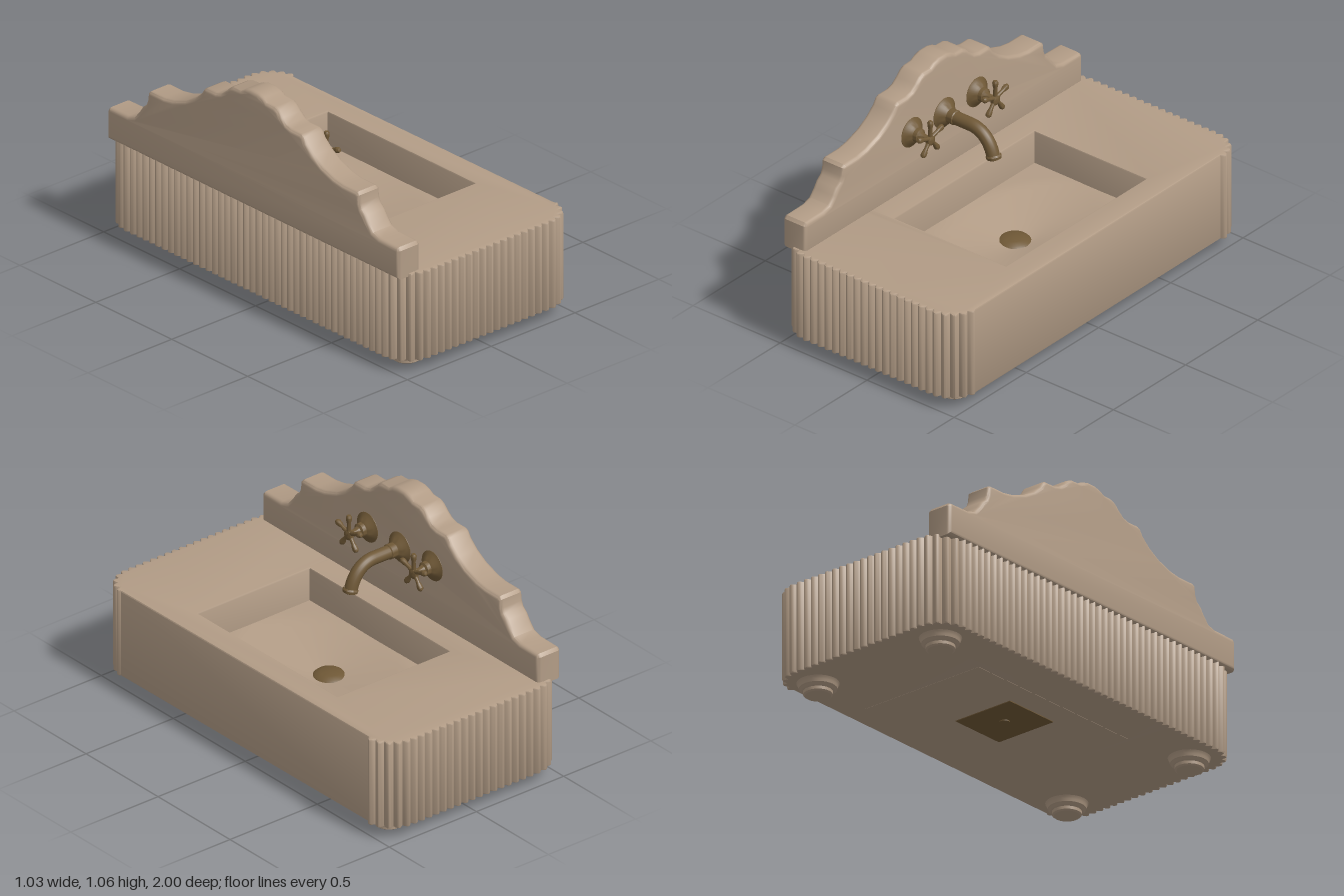
import * as THREE from 'three';
import { toCreasedNormals } from 'three/addons/utils/BufferGeometryUtils.js';

const stone = new THREE.MeshStandardMaterial({ color: 0xb29c86 });
stone.name = 'warm stone';
const bronze = new THREE.MeshStandardMaterial({ color: 0x6f5836 });
bronze.name = 'aged bronze';

const V2 = (x, y) => new THREE.Vector2(x, y);
const V3 = (x, y, z) => new THREE.Vector3(x, y, z);

function add(parent, name, geometry, material, x = 0, y = 0, z = 0) {
  const mesh = new THREE.Mesh(geometry, material);
  mesh.name = name;
  mesh.position.set(x, y, z);
  parent.add(mesh);
  return mesh;
}

// Turned part from [radius, height] pairs listed bottom to top
function turned(pairs, segments = 32) {
  const geo = new THREE.LatheGeometry(pairs.map(([r, h]) => V2(r, h)), segments);
  return toCreasedNormals(geo, 0.6);
}

// Rounded rectangle whose edge swells into a row of convex flutes
function flutedOutline(hx, hz, r, flutes, depth) {
  const base = new THREE.Shape();
  base.moveTo(hx, -hz + r);
  base.absarc(hx - r, hz - r, r, 0, Math.PI / 2);
  base.absarc(-hx + r, hz - r, r, Math.PI / 2, Math.PI);
  base.absarc(-hx + r, -hz + r, r, Math.PI, Math.PI * 1.5);
  base.absarc(hx - r, -hz + r, r, Math.PI * 1.5, Math.PI * 2);
  const steps = 6, n = flutes * steps;
  const pts = base.getSpacedPoints(n).slice(0, n);
  return new THREE.Shape(pts.map((p, i) => {
    const t = pts[(i + 1) % n].clone().sub(pts[(i + n - 1) % n]).normalize();
    const swell = depth * Math.abs(Math.sin(Math.PI * i / steps));
    return V2(p.x + t.y * swell, p.y - t.x * swell);
  }));
}

const BASIN = { x: 0.05, hx: 0.32, hz: 0.485 };

function makeBody(group) {
  // Fluted block with the basin opening cut through it
  const shape = flutedOutline(0.494, 0.98, 0.13, 96, 0.02);
  const { x, hx, hz } = BASIN;
  shape.holes.push(new THREE.Path([
    V2(x - hx, -hz), V2(x - hx, hz), V2(x + hx, hz), V2(x + hx, -hz),
  ]));
  const bevel = 0.008;
  const geo = new THREE.ExtrudeGeometry(shape, {
    depth: 0.435 - 2 * bevel, bevelSize: bevel, bevelThickness: bevel,
    bevelOffset: -bevel, bevelSegments: 2,
  });
  geo.translate(0, 0, bevel).rotateX(-Math.PI / 2);
  add(group, 'flutedBody', toCreasedNormals(geo, 0.6), stone, 0, 0.06, 0);

  // Basin floor falling gently towards the drain
  const floor = new THREE.PlaneGeometry(2 * hx + 0.02, 2 * hz + 0.02, 16, 24).rotateX(-Math.PI / 2);
  const p = floor.attributes.position;
  for (let i = 0; i < p.count; i++) {
    const d = Math.hypot(p.getX(i) / hx, p.getZ(i) / hz);
    p.setY(i, 0.255 + 0.075 * Math.min(1, d));
  }
  floor.computeVertexNormals();
  add(group, 'basinFloor', floor, stone, x, 0, 0);

  // Closed underside with a square drain plate
  add(group, 'underside', new THREE.BoxGeometry(2 * hx + 0.03, 0.02, 2 * hz + 0.03), stone, x, 0.069, 0);
  add(group, 'drainPlate', new THREE.BoxGeometry(0.32, 0.008, 0.29), bronze, 0, 0.059, 0);
  add(group, 'drainOutlet', new THREE.CylinderGeometry(0.025, 0.025, 0.008, 20), bronze, 0, 0.054, 0);
  add(group, 'drainCap', turned([[0.08, -0.02], [0.08, 0.01], [0.07, 0.018], [0.045, 0.026], [0, 0.03]]),
    bronze, 0.01, 0.255, 0);
}

function makeBacksplash(group) {
  // Half of the scalloped crest, from the outer end to the middle
  const half = [
    [0.96, 0.48], [0.96, 0.62], [0.948, 0.635], [0.83, 0.637], [0.785, 0.65], [0.755, 0.685], [0.735, 0.715],
    [0.71, 0.735], [0.7, 0.76], [0.695, 0.8], [0.68, 0.812], [0.59, 0.812], [0.53, 0.822],
    [0.45, 0.85], [0.39, 0.885], [0.345, 0.925], [0.328, 0.952], [0.31, 0.962], [0.25, 0.962],
    [0.215, 0.972], [0.185, 0.995], [0.16, 1.02], [0.135, 1.032], [0.085, 1.034], [0.06, 1.048], [0.025, 1.058],
  ];
  const outline = [...half, ...half.map(([z, y]) => [-z, y]).reverse()];
  const bevel = 0.018;
  const geo = new THREE.ExtrudeGeometry(new THREE.Shape(outline.map(([z, y]) => V2(z, y))), {
    depth: 0.13 - 2 * bevel, bevelSize: bevel, bevelThickness: bevel, bevelOffset: -bevel, bevelSegments: 3,
  });
  geo.translate(0, 0, bevel).rotateY(Math.PI / 2);
  add(group, 'backsplash', toCreasedNormals(geo, 0.6), stone, -0.517, 0, 0);
}

function makeFeet(group) {
  const profile = [[0, 0], [0.058, 0], [0.066, 0.006], [0.067, 0.02], [0.075, 0.024], [0.08, 0.03],
    [0.086, 0.034], [0.089, 0.045], [0.093, 0.055], [0.1, 0.065]];
  for (const x of [-0.355, 0.365]) {
    for (const z of [-0.835, 0.835]) add(group, 'foot', turned(profile), stone, x, 0, z);
  }
}

function makeSpout(group) {
  const spout = new THREE.Group();
  spout.name = 'spout';
  // Wall flange and collar, turned about the x axis
  const flange = turned([[0.075, 0], [0.074, 0.01], [0.062, 0.018], [0.05, 0.032], [0.04, 0.04],
    [0.035, 0.045], [0.035, 0.075], [0.03, 0.08]]);
  add(spout, 'flange', flange, bronze, -0.395, 0.768, 0).rotation.z = -Math.PI / 2;
  const path = new THREE.CurvePath();
  path.add(new THREE.LineCurve3(V3(-0.39, 0.768, 0), V3(-0.235, 0.768, 0)));
  path.add(new THREE.CubicBezierCurve3(
    V3(-0.235, 0.768, 0), V3(-0.165, 0.768, 0), V3(-0.12, 0.72, 0), V3(-0.103, 0.645, 0)));
  add(spout, 'pipe', new THREE.TubeGeometry(path, 40, 0.031, 20), bronze);
  // Lip around the outlet
  const lip = turned([[0, -0.012], [0.026, -0.012], [0.034, -0.008], [0.036, 0.004], [0.031, 0.012]]);
  add(spout, 'lip', lip, bronze, -0.102, 0.652, 0).rotation.z = 0.22;
  group.add(spout);
}

function makeTap(group, z, name) {
  const tap = new THREE.Group();
  tap.name = name;
  tap.position.set(-0.395, 0.772, z);
  const stem = turned([[0.073, 0], [0.072, 0.01], [0.058, 0.018], [0.045, 0.032], [0.034, 0.04],
    [0.032, 0.058], [0.022, 0.064], [0.016, 0.08], [0.016, 0.1], [0.023, 0.106], [0.023, 0.124], [0.012, 0.13], [0, 0.131]]);
  add(tap, 'stem', stem, bronze).rotation.z = -Math.PI / 2;
  // Five spokes with rounded tips
  const spoke = turned([[0.011, 0], [0.009, 0.05], [0.013, 0.066], [0.014, 0.08], [0.009, 0.09], [0, 0.093]], 12);
  for (let i = 0; i < 5; i++) {
    add(tap, 'spoke', spoke, bronze, 0.115, 0.008, 0).rotation.x = i * Math.PI * 0.4;
  }
  group.add(tap);
}

export function createModel() {
  const group = new THREE.Group();
  group.name = 'washbasin';
  makeBody(group);
  makeBacksplash(group);
  makeFeet(group);
  makeSpout(group);
  makeTap(group, 0.225, 'leftTap');
  makeTap(group, -0.225, 'rightTap');
  return group;
}
